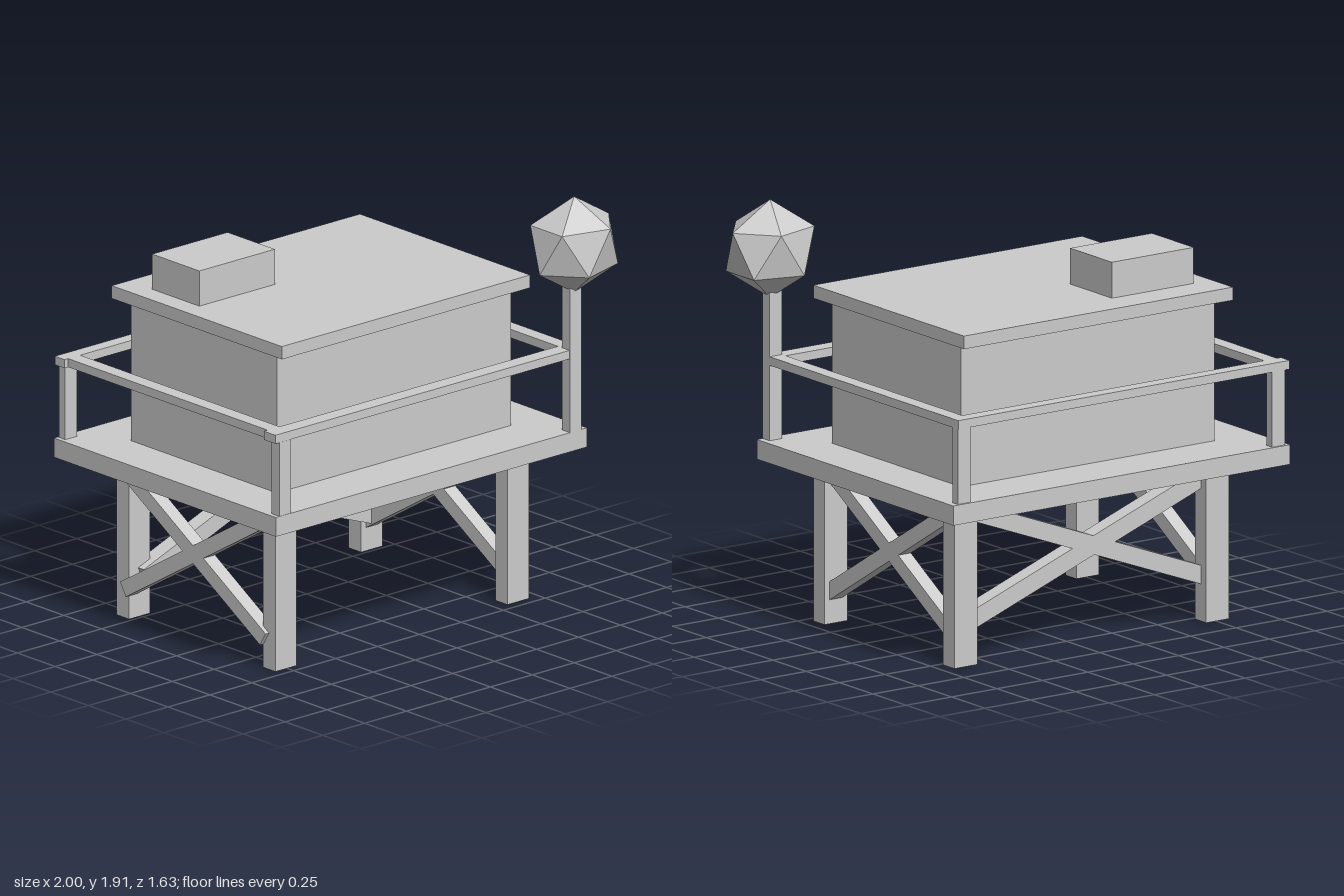
import * as THREE from 'three';
import { ConvexGeometry } from 'three/addons/geometries/ConvexGeometry.js';

const material = new THREE.MeshStandardMaterial({ color: 0xcccccc, flatShading: true });

export function createModel() {
  const model = new THREE.Group();
  model.name = 'raisedCabin';

  const add = (name, geometry) => {
    const mesh = new THREE.Mesh(geometry, material);
    mesh.name = name;
    model.add(mesh);
    return mesh;
  };

  // Box given by its extents on each axis
  const block = (name, [x0, x1], [y0, y1], [z0, z1]) =>
    add(name, new THREE.BoxGeometry(x1 - x0, y1 - y0, z1 - z0))
      .position.set((x0 + x1) / 2, (y0 + y1) / 2, (z0 + z1) / 2);

  // Beam between two points, its length along local z
  const beam = (name, from, to, width, height) => {
    const a = new THREE.Vector3(...from), b = new THREE.Vector3(...to);
    const mesh = add(name, new THREE.BoxGeometry(width, height, a.distanceTo(b)));
    mesh.position.copy(a).add(b).multiplyScalar(0.5);
    mesh.lookAt(b);
  };

  // Deck, cabin, roof and roof box
  block('deck', [-1, 0.855], [0.725, 0.815], [-0.815, 0.66]);
  block('cabin', [-0.77, 0.625], [0.815, 1.47], [-0.56, 0.41]);
  block('roof', [-0.81, 0.67], [1.47, 1.53], [-0.643, 0.488]);
  block('roofBox', [-0.71, -0.26], [1.53, 1.695], [-0.486, -0.172]);

  // Legs
  for (const x of [[-0.82, -0.695], [0.564, 0.692]])
    for (const z of [[-0.6, -0.517], [0.375, 0.456]])
      block('leg', x, [0, 0.725], z);

  // Crossed braces on both sides and the back; the front stays open
  for (const [name, x] of [['rightBrace', -0.805], ['leftBrace', 0.628]]) {
    beam(name, [x, 0.14, 0.395], [x, 0.695, -0.525], 0.07, 0.072);
    beam(name, [x, 0.695, 0.385], [x, 0.14, -0.535], 0.07, 0.072);
  }
  beam('backBrace', [-0.75, 0.672, -0.52], [0.62, 0.172, -0.52], 0.08, 0.084);
  beam('backBrace', [-0.75, 0.192, -0.52], [0.6, 0.706, -0.52], 0.08, 0.08);

  // Railing posts and rails
  const postX = [[-0.978, -0.907], [0.754, 0.823]];
  for (const x of postX) {
    block('railPost', x, [0.815, 1.16], [-0.805, -0.765]);
    block('sideRail', x, [1.16, 1.2], [-0.745, 0.58]);
  }
  block('railPost', postX[0], [0.815, 1.16], [0.608, 0.658]);
  block('frontRail', [-1, 0.823], [1.16, 1.2], [0.58, 0.657]);
  block('backRail', [-1, 0.823], [1.16, 1.2], [-0.81, -0.745]);

  // Mast rising from the front corner post
  block('mast', postX[1], [0.815, 1.5], [0.608, 0.66]);

  // Faceted ball: two poles and two staggered rings of five
  const points = [new THREE.Vector3(0, 0.225, 0), new THREE.Vector3(0, -0.225, 0)];
  for (let i = 0; i < 10; i++) {
    const angle = i * Math.PI / 5;
    points.push(new THREE.Vector3(0.206 * Math.cos(angle), i % 2 ? -0.1 : 0.1, 0.18 * Math.sin(angle)));
  }
  add('mastBall', new ConvexGeometry(points)).position.set(0.794, 1.685, 0.643);

  return model;
}
